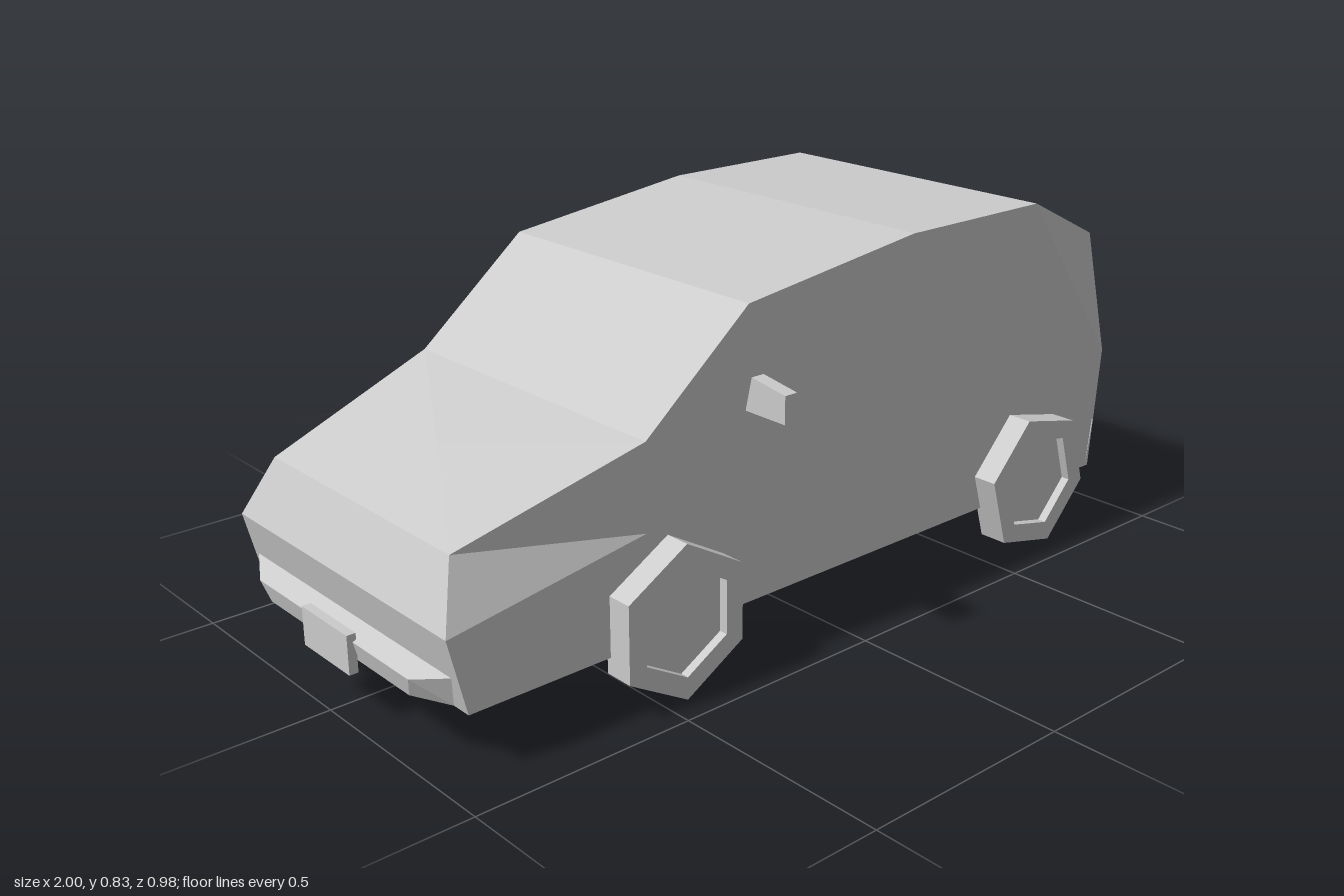
import * as THREE from 'three';
import { ConvexGeometry } from 'three/addons/geometries/ConvexGeometry.js';

const material = new THREE.MeshStandardMaterial({ color: 0xcccccc, flatShading: true });

function part(name, geometry, parent) {
  const mesh = new THREE.Mesh(geometry, material);
  mesh.name = name;
  parent.add(mesh);
  return mesh;
}

// Side profile, clockwise from the nose sill: x, y, half width
const profile = [
  [-0.925, 0.125, 0.38], [-0.965, 0.29, 0.38], [-0.91, 0.42, 0.32], [-0.5, 0.55, 0.38],
  [-0.235, 0.77, 0.38], [0.24, 0.83, 0.38], [0.65, 0.83, 0.38], [0.9, 0.715, 0.35],
  [0.945, 0.42, 0.38], [0.92, 0.125, 0.38],
];

function bodyGeometry() {
  const pos = [];
  const tri = (a, b, c) => pos.push(...a, ...b, ...c);
  const at = (p, side) => [p[0], p[1], p[2] * side];
  const hoodCentre = [-0.72, 0.49, 0];

  // Skin across the car: nose, hood, windscreen, roof, tail and floor
  profile.forEach((a, i) => {
    const b = profile[(i + 1) % profile.length];
    const ring = [at(a, 1), at(b, 1), at(b, -1), at(a, -1)];
    if (i === 2) {
      // slightly crowned hood
      ring.forEach((p, k) => tri(p, ring[(k + 1) % 4], hoodCentre));
    } else {
      tri(ring[0], ring[1], ring[2]);
      tri(ring[0], ring[2], ring[3]);
    }
  });

  // Flat flanks, with folded corners at the nose and tail
  const fold = [-0.5, 0.36, 0.38];
  const flank = [0, 9, 8, 6, 5, 4, 3].map((i) => profile[i]).concat([fold, profile[1]]);
  const faces = THREE.ShapeUtils.triangulateShape(
    flank.map((p) => new THREE.Vector2(p[0], p[1])), [],
  ).map((f) => f.map((i) => flank[i]));
  faces.push([profile[2], fold, profile[3]], [profile[2], profile[1], fold]);
  faces.push([profile[6], profile[8], profile[7]]);
  for (const [a, b, c] of faces) {
    tri(at(a, 1), at(b, 1), at(c, 1));
    tri(at(a, -1), at(c, -1), at(b, -1));
  }

  const geo = new THREE.BufferGeometry();
  geo.setAttribute('position', new THREE.Float32BufferAttribute(pos, 3));
  geo.computeVertexNormals();
  return geo;
}

// Convex block mirrored across the car from [x, y, half width] corners
const block = (corners) => new ConvexGeometry(corners.flatMap(([x, y, w]) => [
  new THREE.Vector3(x, y, w), new THREE.Vector3(x, y, -w),
]));

function hexagon(radius, angle) {
  return Array.from({ length: 6 }, (_, i) => {
    const t = angle + (i * Math.PI) / 3;
    return new THREE.Vector2(radius * Math.cos(t), radius * Math.sin(t));
  });
}

const extrude = (shape, depth) => new THREE.ExtrudeGeometry(shape, { depth, bevelEnabled: false });

// Six-sided tyre ring with a recessed hub
function addWheel(car, name, x, side, degrees) {
  const angle = THREE.MathUtils.degToRad(degrees);
  const wheel = new THREE.Group();
  wheel.name = name;
  const tyre = new THREE.Shape(hexagon(0.17, angle));
  tyre.holes.push(new THREE.Path(hexagon(0.12, angle)));
  part('tyre', extrude(tyre, 0.068), wheel);
  part('hub', extrude(new THREE.Shape(hexagon(0.12, angle)), 0.048), wheel);
  wheel.position.set(x, 0.172, side * 0.37);
  wheel.scale.z = side;
  car.add(wheel);
}

// Wing mirror: a frame around a sunken panel, glass facing the tail
function addMirror(car, name, side) {
  const mirror = new THREE.Group();
  mirror.name = name;
  const pts = (list) => list.map(([x, y]) => new THREE.Vector2(x, y));
  const outline = pts([[0.38, 0.55], [0.492, 0.55], [0.492, 0.61], [0.397, 0.624]]);
  const opening = pts([[0.4, 0.561], [0.48, 0.561], [0.484, 0.602], [0.41, 0.612]]);
  const frame = new THREE.Shape(outline);
  frame.holes.push(new THREE.Path(opening));
  part('mirrorFrame', extrude(frame, 0.032).rotateY(-Math.PI / 2), mirror).position.x = -0.21;
  part('mirrorPanel', extrude(new THREE.Shape(opening), 0.018).rotateY(-Math.PI / 2), mirror)
    .position.x = -0.224;
  mirror.scale.z = side;
  car.add(mirror);
}

export function createModel() {
  const car = new THREE.Group();
  car.name = 'car';
  part('body', bodyGeometry(), car);

  // Bumpers
  part('frontBumper', block([
    [-0.93, 0.13, 0.34], [-0.945, 0.2, 0.36], [-0.975, 0.135, 0.26], [-0.987, 0.18, 0.28],
  ]), car);
  part('rearBumper', block([
    [0.91, 0.125, 0.38], [0.925, 0.245, 0.383], [0.942, 0.123, 0.36], [0.956, 0.223, 0.36],
  ]), car);

  // Blank plates
  const frontPlate = part('frontPlate', new THREE.BoxGeometry(0.02, 0.085, 0.17), car);
  frontPlate.position.set(-0.989, 0.155, 0);
  const rearPlate = part('rearPlate', new THREE.BoxGeometry(0.02, 0.09, 0.17), car);
  rearPlate.position.set(0.948, 0.125, 0);
  rearPlate.rotation.z = -0.1;

  // Square tail pipe, angled down
  const pipe = part('tailPipe', new THREE.BoxGeometry(0.15, 0.052, 0.055), car);
  pipe.position.set(0.918, 0.1, -0.27);
  pipe.rotation.set(0.1, 0, -0.48);

  addWheel(car, 'frontWheelLeft', -0.447, 1, 90);
  addWheel(car, 'frontWheelRight', -0.447, -1, 97);
  addWheel(car, 'rearWheelLeft', 0.65, 1, 107);
  addWheel(car, 'rearWheelRight', 0.65, -1, 107);
  addMirror(car, 'mirrorLeft', 1);
  addMirror(car, 'mirrorRight', -1);
  return car;
}
